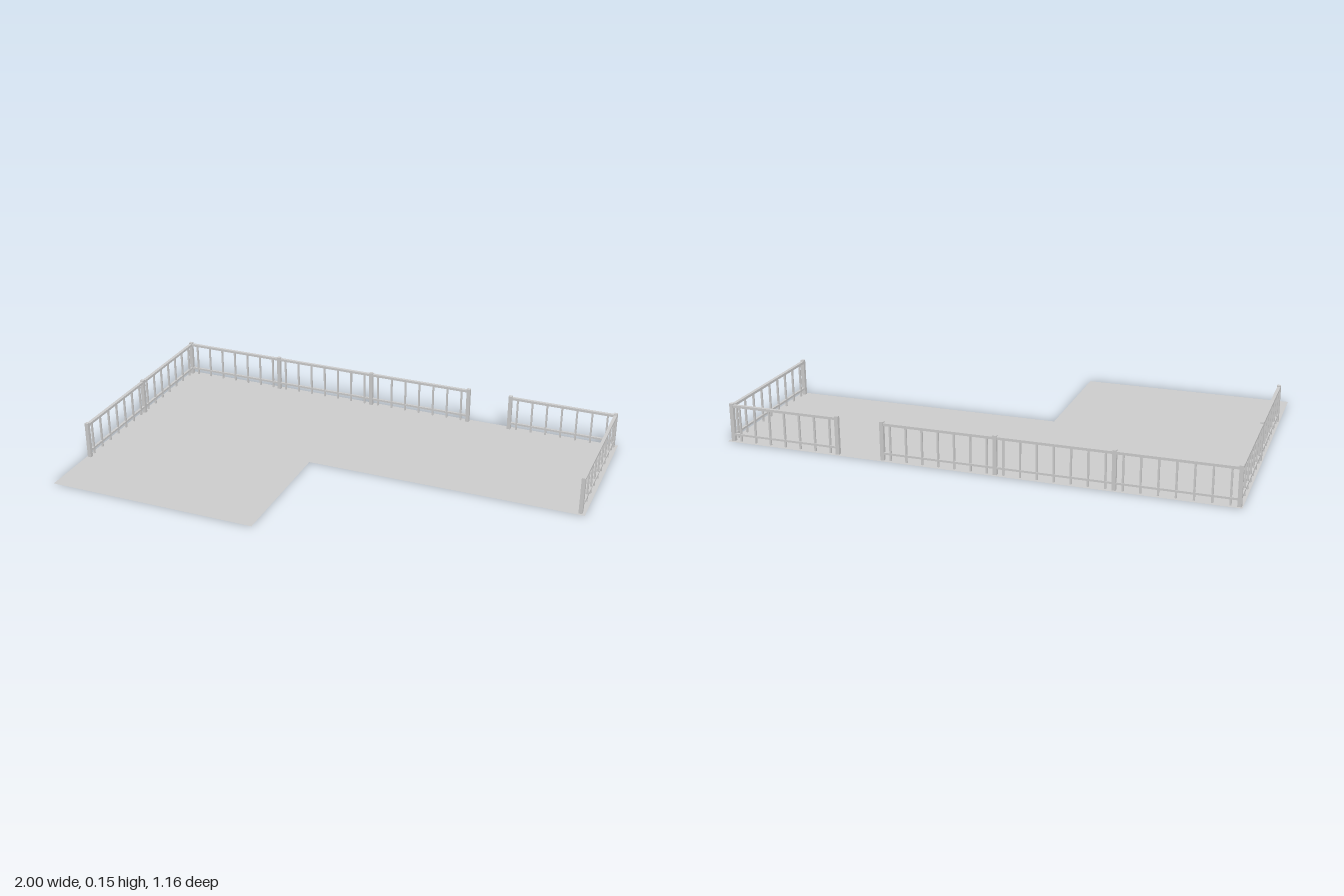
import * as THREE from 'three';

const material = new THREE.MeshStandardMaterial({ color: 0xcccccc });
const floorMaterial = new THREE.MeshStandardMaterial({ color: 0xcccccc, side: THREE.DoubleSide });

const POST = 0.015, POST_HEIGHT = 0.153, SPACING = 0.0633;

function box(name, w, h, d, x, y, z) {
  const mesh = new THREE.Mesh(new THREE.BoxGeometry(w, h, d), material);
  mesh.name = name;
  mesh.position.set(x, y, z);
  return mesh;
}

// Straight railing along local +x: posts at the given distances, evenly spaced balusters
function railing(name, length, posts) {
  const group = new THREE.Group();
  group.name = name;
  group.add(box('topRail', length, 0.01, 0.013, length / 2, 0.143, 0));
  group.add(box('bottomRail', length, 0.008, 0.01, length / 2, 0.027, 0));
  for (const x of posts) group.add(box('post', POST, POST_HEIGHT, POST, x, POST_HEIGHT / 2, 0));
  const stops = [...posts].sort((a, b) => a - b);
  for (let i = 0; i < stops.length - 1; i++) {
    const span = stops[i + 1] - stops[i];
    const count = Math.round(span / SPACING);
    for (let k = 0; k < count; k++) {
      const x = stops[i] + span * (k + 0.5) / count;
      group.add(box('baluster', 0.007, 0.14, 0.007, x, 0.07, 0));
    }
  }
  return group;
}

export function createModel() {
  const model = new THREE.Group();
  model.name = 'terrace';

  // L-shaped floor sheet, drawn in x and -z, then laid flat
  const outline = [[-1, -0.58], [-0.135, -0.58], [-0.135, -0.037], [1, -0.037], [1, 0.58], [-1, 0.58]];
  const shape = new THREE.Shape(outline.map(([x, y]) => new THREE.Vector2(x, y)));
  const floor = new THREE.Mesh(new THREE.ShapeGeometry(shape).rotateX(-Math.PI / 2), floorMaterial);
  floor.name = 'floor';
  model.add(floor);

  // Back railings either side of the entrance gap
  const backZ = -0.563, rightX = -0.988, leftX = 0.981;
  const backLong = railing('backRailingLong', 1.338, [0, 0.446, 0.892, 1.338]);
  backLong.position.set(rightX, 0, backZ);
  const backShort = railing('backRailingShort', 0.446, [0, 0.446]);
  backShort.position.set(leftX - 0.446, 0, backZ);

  // Side railings run forward from the back corners
  const rightSide = railing('rightRailing', 0.892, [0, 0.446, 0.892]);
  rightSide.position.set(rightX, 0, backZ);
  const leftSide = railing('leftRailing', 0.583, [0, 0.583]);
  leftSide.position.set(leftX, 0, backZ);
  for (const side of [rightSide, leftSide]) side.rotation.y = -Math.PI / 2;

  model.add(backLong, backShort, rightSide, leftSide);
  return model;
}
